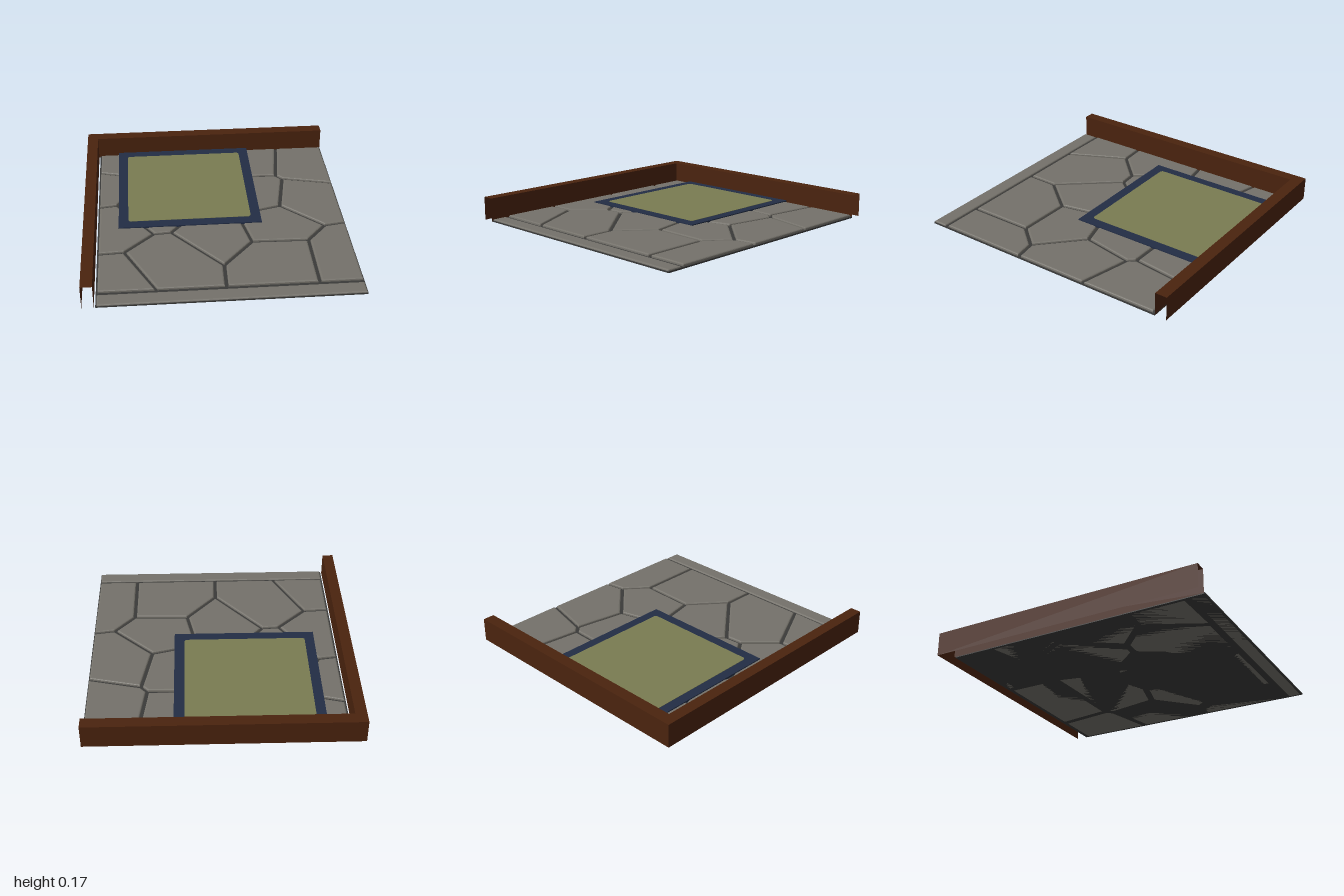
import * as THREE from 'three';

const material = (name, color, side = THREE.FrontSide) => {
  const m = new THREE.MeshStandardMaterial({ color, side });
  m.name = name;
  return m;
};

export function createModel() {
  const model = new THREE.Group();
  model.name = 'stoneFloorCorner';
  const wood = material('brown wood', 0x4a230e, THREE.DoubleSide);
  const stone = material('grey stone', 0x74716a);
  const grout = material('dark grout', 0x3a3a39);
  const navy = material('navy border', 0x222d45);
  const olive = material('olive cloth', 0x7a7c52);

  const add = (name, geometry, mat, parent = model) => {
    const mesh = new THREE.Mesh(geometry, mat);
    mesh.name = name;
    parent.add(mesh);
    return mesh;
  };
  // Box given by its limits on each axis
  const block = (name, x0, x1, y0, y1, z0, z1, mat) => {
    const mesh = add(name, new THREE.BoxGeometry(x1 - x0, y1 - y0, z1 - z0), mat);
    mesh.position.set((x0 + x1) / 2, (y0 + y1) / 2, (z0 + z1) / 2);
  };

  // L-shaped wall: hollow shell, open below and at both ends
  const H = 0.17;
  const outer = [[-0.94, 1], [-0.94, -1], [0.94, -1]];
  const inner = [[-0.86, 1], [-0.86, -0.915], [0.94, -0.915]];
  const skirt = (name, path) => {
    for (let i = 0; i < 2; i++) {
      const [x0, z0] = path[i], [x1, z1] = path[i + 1];
      const length = Math.hypot(x1 - x0, z1 - z0);
      const side = add(name, new THREE.PlaneGeometry(length, H), wood);
      side.position.set((x0 + x1) / 2, H / 2, (z0 + z1) / 2);
      // left run faces out to -x, back run faces out to -z
      side.rotation.y = i === 0 ? -Math.PI / 2 : Math.PI;
      if (path === inner) side.rotation.y += Math.PI;
    }
  };
  skirt('wallOuterSide', outer);
  skirt('wallInnerSide', inner);
  const capShape = new THREE.Shape(
    [...outer, ...inner.slice().reverse()].map(([x, z]) => new THREE.Vector2(x, -z)));
  const cap = new THREE.ShapeGeometry(capShape).rotateX(-Math.PI / 2);
  add('wallTop', cap, wood).position.y = H;

  // Floor slab showing in the joints
  block('floorBase', -0.85, 0.94, 0, 0.01, -0.915, 1, grout);

  // Joint corners [x, z] of the paving
  const P = {
    a: [0.575, -0.91], b: [0.52, -0.485], c: [0.565, -0.435], d: [0.495, -0.06],
    e: [0.785, 0.22], f: [0.64, 0.39], g: [0.24, 0.38], h: [0.02, 0.64],
    i: [-0.325, 0.225], j: [-0.45, 0.235], k: [-0.66, 0.44],
    m: [-0.1, -0.05], n: [0.17, 0.03], p: [-0.5, -0.53], q: [-0.2, -0.5],
    y: [-0.71, -0.155], t: [-0.2, -0.91],
    A: [0.945, -0.91], B: [0.945, -0.345], C: [0.945, 0.195], D: [0.945, 0.875],
    E: [0.64, 0.875], F: [0.015, 0.875], G: [-0.45, 0.875], I: [-0.85, 0.875],
    J: [-0.85, 0.45], K: [-0.85, -0.135], L: [-0.85, -0.625], M: [-0.85, -0.91],
  };
  const stones = ['aABcb', 'cBCed', 'eCDEf', 'gfEFh', 'defgn', 'imngh', 'kjihFG',
    'JkGI', 'KyjkJ', 'LpyK', 'MtqpL', 'tabq', 'qbcdnm', 'pqmijy'];

  // Bevelled slab with its outline drawn in by the joint width
  const paver = (name, corners, top, parent) => {
    const shape = new THREE.Shape(corners.map(([x, z]) => new THREE.Vector2(x, -z)));
    const bevel = 0.009;
    const geometry = new THREE.ExtrudeGeometry(shape, {
      depth: top - 2 * bevel, bevelThickness: bevel, bevelSize: 0.012,
      bevelOffset: -0.024, bevelSegments: 3,
    });
    geometry.translate(0, 0, bevel).rotateX(-Math.PI / 2);
    add(name, geometry, stone, parent);
  };
  const paving = new THREE.Group();
  paving.name = 'paving';
  model.add(paving);
  for (const s of stones) paver('pavingStone', [...s].map((v) => P[v]), 0.028, paving);
  paver('frontKerb', [[-0.855, 0.878], [0.948, 0.878], [0.948, 1.01], [-0.855, 1.01]], 0.021, paving);

  // Rug: navy border with an olive field whose corners are clipped
  block('rugBorder', -0.7, 0.335, 0.022, 0.035, -0.914, 0.155, navy);
  const [x0, x1, z0, z1, r] = [-0.63, 0.263, -0.84, 0.08, 0.014];
  const field = new THREE.Shape([
    [x0 + r, z0], [x1 - r, z0], [x1, z0 + r], [x1, z1 - r],
    [x1 - r, z1], [x0 + r, z1], [x0, z1 - r], [x0, z0 + r],
  ].map(([x, z]) => new THREE.Vector2(x, -z)));
  const plate = new THREE.ExtrudeGeometry(field, { depth: 0.002, bevelEnabled: false });
  add('rugField', plate.rotateX(-Math.PI / 2), olive).position.y = 0.035;

  return model;
}
